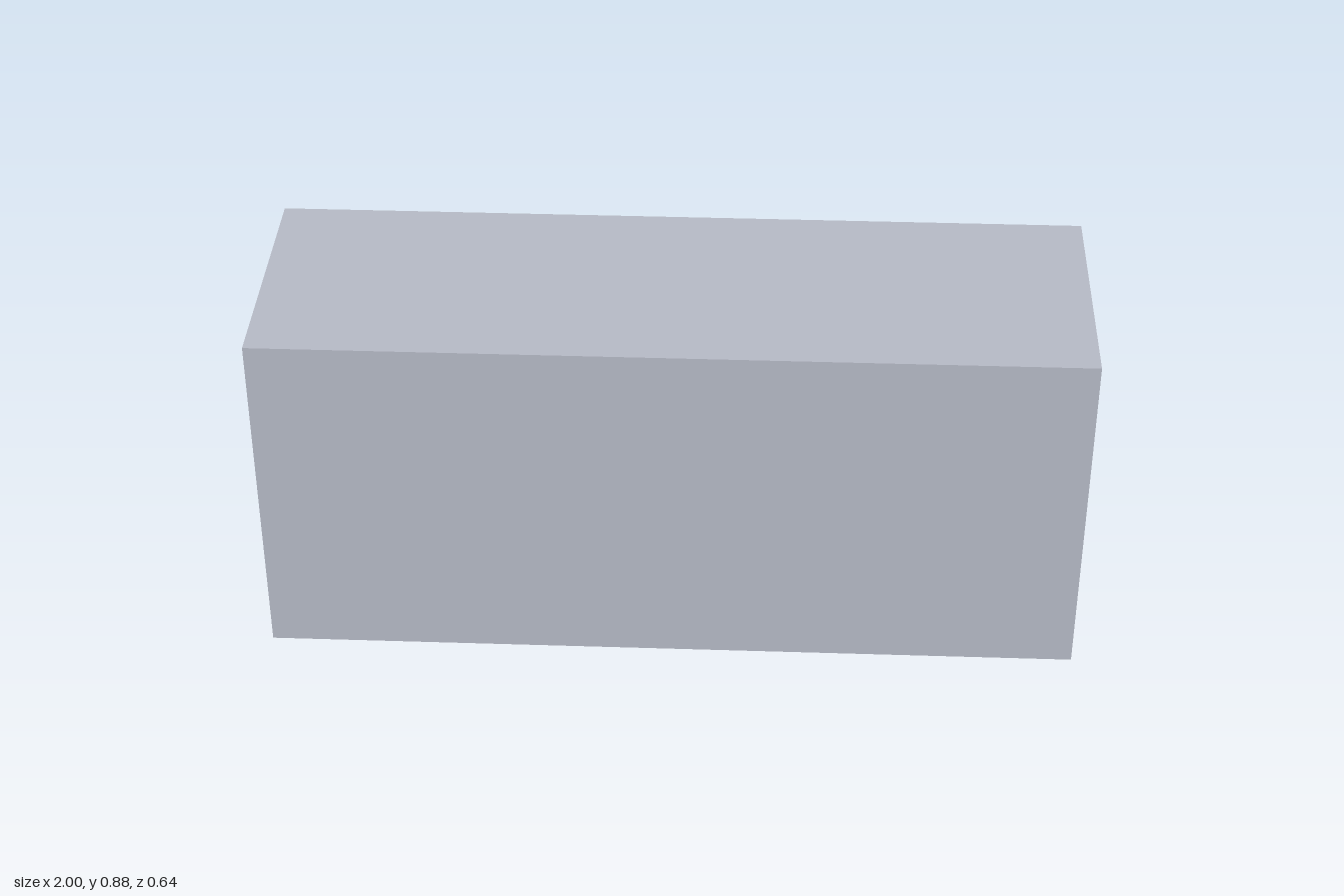
import * as THREE from 'three';

export function createModel() {
  const group = new THREE.Group();
  const grey = new THREE.MeshStandardMaterial({ color: 0xb8bcc8 });
  grey.name = 'pale blue grey';

  // Box given by its extents along each axis
  function block(name, [x0, x1], [y0, y1], [z0, z1]) {
    const mesh = new THREE.Mesh(new THREE.BoxGeometry(x1 - x0, y1 - y0, z1 - z0), grey);
    mesh.name = name;
    mesh.position.set((x0 + x1) / 2, (y0 + y1) / 2, (z0 + z1) / 2);
    group.add(mesh);
  }

  // Cabinet body and the worktop that overhangs it at the back
  block('cabinetBody', [-1, 1], [0, 0.809], [-0.29, 0.32]);
  block('worktop', [-1, 1], [0.809, 0.875], [-0.317, 0.32]);

  // Four equal doors along the back, set slightly off centre
  const start = -0.954, end = 0.974, gap = 0.022, count = 4;
  const width = (end - start - gap * (count - 1)) / count;
  for (let i = 0; i < count; i++) {
    const x = start + i * (width + gap);
    block('door' + (i + 1), [x, x + width], [0.037, 0.777], [-0.32, -0.29]);
  }

  return group;
}
